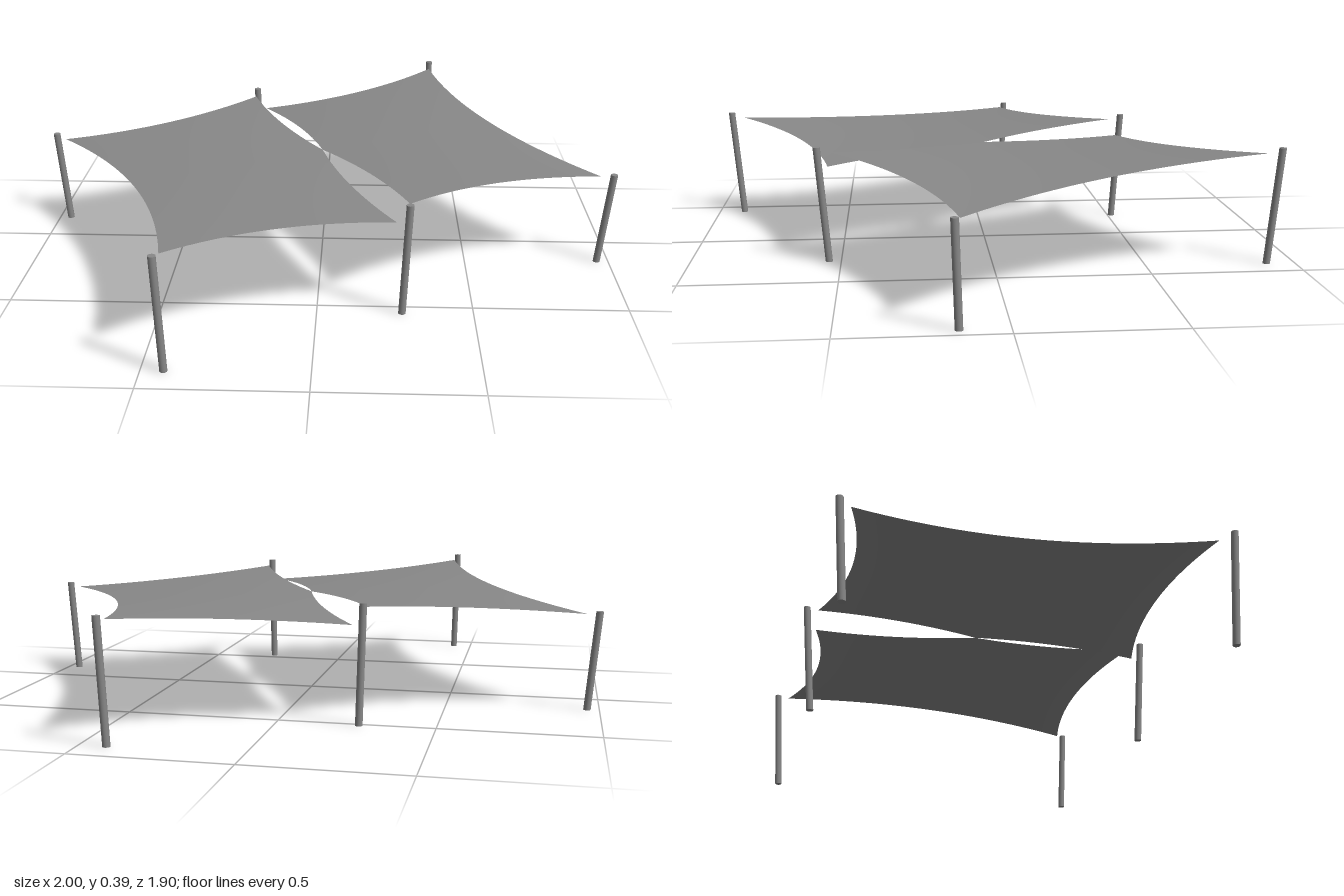
import * as THREE from 'three';

const material = new THREE.MeshStandardMaterial({ color: 0x888888 });
const cloth = new THREE.MeshStandardMaterial({ color: 0x888888, side: THREE.DoubleSide });
const V = (x, y, z) => new THREE.Vector3(x, y, z);
const LOW = 0.317, HIGH = 0.372, POST_RADIUS = 0.012;

// Leaning post: a cylinder sheared from its foot to its top, ends kept level
function post(name, [fx, fz], [tx, tz], height) {
  const g = new THREE.CylinderGeometry(POST_RADIUS, POST_RADIUS, height, 16);
  g.translate(0, height / 2, 0);
  const p = g.attributes.position;
  for (let i = 0; i < p.count; i++) {
    const t = p.getY(i) / height;
    p.setX(i, p.getX(i) + fx + (tx - fx) * t);
    p.setZ(i, p.getZ(i) + fz + (tz - fz) * t);
  }
  g.computeBoundingSphere();
  const mesh = new THREE.Mesh(g, material);
  mesh.name = name;
  return mesh;
}

// Edge from a to b, bowed level towards the middle of the sail
function bowedEdge(a, b, middle, sag) {
  const side = V(b.z - a.z, 0, a.x - b.x).normalize();
  const mid = a.clone().lerp(b, 0.5);
  if (side.dot(middle.clone().sub(mid)) < 0) side.negate();
  return t => a.clone().lerp(b, t).addScaledVector(side, 4 * sag * t * (1 - t));
}

// Twisted four-corner sail; its inner edge is pinned halfway at the centre
function sail(name, c00, c10, c01, c11) {
  const middle = V(0, 0, 0).add(c00).add(c10).add(c01).add(c11).divideScalar(4);
  const pin = V(0, (LOW + HIGH) / 2, 0);
  const outer = bowedEdge(c00, c10, middle, 0.087);
  const halfA = bowedEdge(c01, pin, middle, 0.025);
  const halfB = bowedEdge(pin, c11, middle, 0.025);
  const inner = t => (t < 0.5 ? halfA(2 * t) : halfB(2 * t - 1));
  const start = bowedEdge(c00, c01, middle, 0.062);
  const end = bowedEdge(c10, c11, middle, 0.062);

  const g = new THREE.PlaneGeometry(1, 1, 32, 32);
  const p = g.attributes.position;
  for (let i = 0; i < p.count; i++) {
    const u = p.getX(i) + 0.5, v = p.getY(i) + 0.5;
    // Blend the four edges, then take away the doubled corners
    const q = V(0, 0, 0)
      .addScaledVector(outer(u), 1 - v).addScaledVector(inner(u), v)
      .addScaledVector(start(v), 1 - u).addScaledVector(end(v), u)
      .addScaledVector(c00, -(1 - u) * (1 - v)).addScaledVector(c10, -u * (1 - v))
      .addScaledVector(c01, -(1 - u) * v).addScaledVector(c11, -u * v);
    p.setXYZ(i, q.x, q.y, q.z);
  }
  g.computeVertexNormals();
  g.computeBoundingSphere();
  const mesh = new THREE.Mesh(g, cloth);
  mesh.name = name;
  return mesh;
}

export function createModel() {
  const model = new THREE.Group();
  model.name = 'shadeSails';

  // Two sails, each with low and high corners alternating
  model.add(
    sail('rightSail', V(-0.95, LOW, -0.145), V(-0.427, HIGH, 0.888),
      V(-0.28, HIGH, -0.5), V(0.248, LOW, 0.538)),
    sail('leftSail', V(0.947, LOW, 0.143), V(0.416, HIGH, -0.892),
      V(0.288, HIGH, 0.52), V(-0.242, LOW, -0.52)),
  );

  // Six posts leaning outwards
  model.add(
    post('rightPost', [-0.96, -0.153], [-0.988, -0.167], 0.33),
    post('leftPost', [0.96, 0.148], [0.988, 0.16], 0.33),
    post('frontPost', [-0.431, 0.905], [-0.437, 0.937], 0.39),
    post('backPost', [0.413, -0.905], [0.419, -0.937], 0.39),
    post('frontMiddlePost', [0.272, 0.54], [0.287, 0.57], 0.39),
    post('backMiddlePost', [-0.261, -0.514], [-0.277, -0.543], 0.39),
  );
  return model;
}
